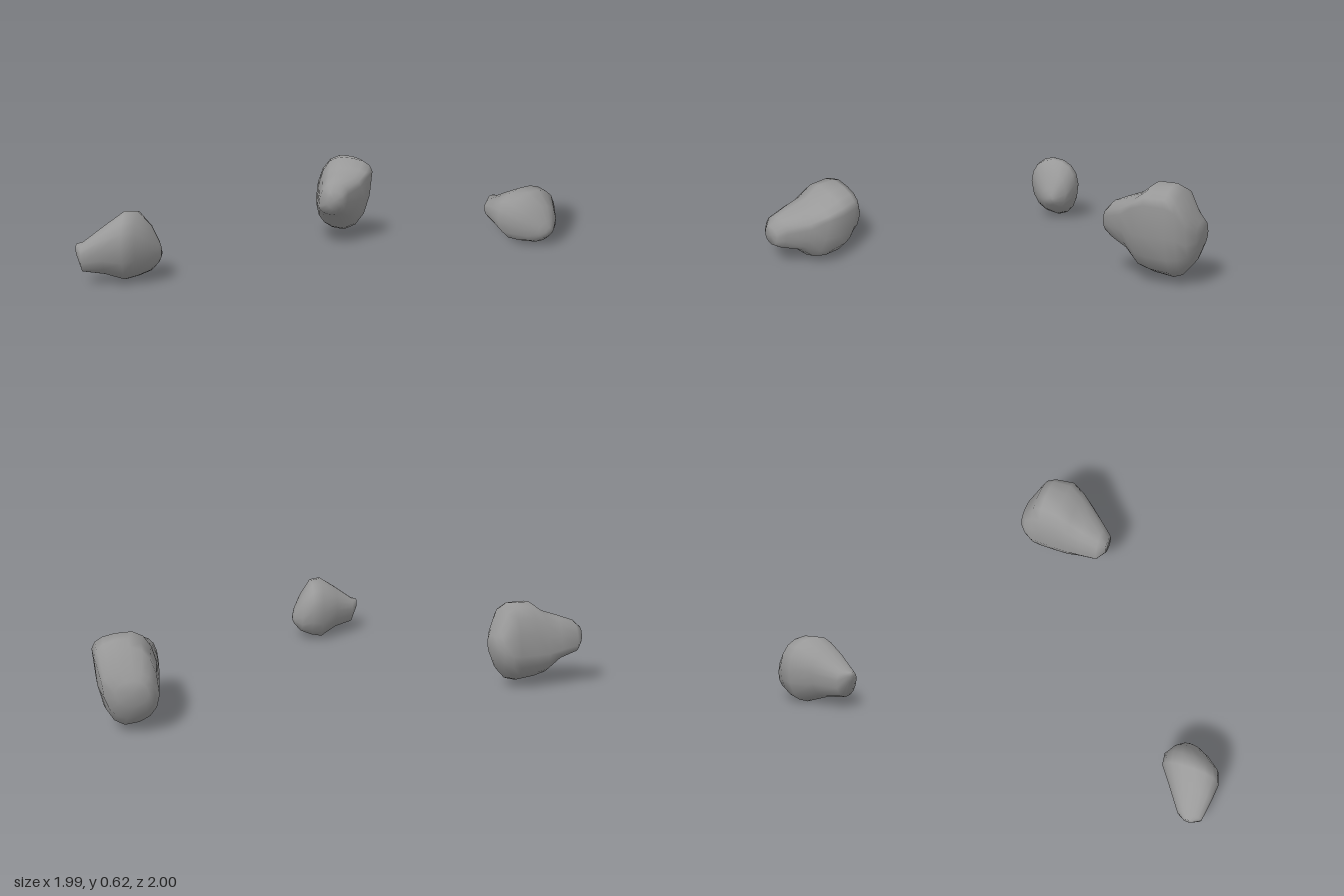
import * as THREE from 'three';

const STEPS = 4; // points per quarter of a cross-section

// Closed loop through the left, top, right and bottom points of a section
function ring([, ...p]) {
  const pts = [0, 2, 4, 6].map((i) => new THREE.Vector2(p[i], p[i + 1]));
  const [l, t, r, b] = pts;
  const corners = [[l.x, t.y], [r.x, t.y], [r.x, b.y], [l.x, b.y]];
  return corners.flatMap(([cx, cy], q) => {
    const from = pts[q], to = pts[(q + 1) % 4];
    const control = from.clone().add(to).multiplyScalar(0.5).lerp(new THREE.Vector2(cx, cy), 0.88);
    const curve = new THREE.QuadraticBezierCurve(from, control, to);
    return Array.from({ length: STEPS }, (_, k) => curve.getPoint(k / STEPS));
  });
}

// Loft of sections along an axis: place maps (across, up, along) to a position
function loft(sections, place, flip) {
  const n = STEPS * 4, last = sections.length - 1;
  const positions = [], index = [];
  const tri = (a, b, c) => index.push(...(flip ? [a, c, b] : [a, b, c]));
  const rings = sections.map(ring);
  rings.forEach((loop, i) => loop.forEach((p) => positions.push(...place(p.x, p.y, sections[i][0]))));
  for (let i = 0; i < last; i++) {
    for (let j = 0; j < n; j++) {
      const a = i * n + j, b = i * n + (j + 1) % n;
      tri(a, a + n, b);
      tri(b, a + n, b + n);
    }
  }
  // Close both ends
  for (const i of [0, last]) {
    const mid = rings[i].reduce((s, p) => s.add(p), new THREE.Vector2()).divideScalar(n);
    const c = positions.length / 3;
    positions.push(...place(mid.x, mid.y, sections[i][0]));
    for (let j = 0; j < n; j++) {
      const a = i * n + j, b = i * n + (j + 1) % n;
      if (i === 0) tri(c, a, b); else tri(c, b, a);
    }
  }
  const geometry = new THREE.BufferGeometry();
  geometry.setAttribute('position', new THREE.Float32BufferAttribute(positions, 3));
  geometry.setIndex(index);
  geometry.computeVertexNormals();
  return geometry;
}

// Each row: position along the axis, then left, top, right and bottom points
const largeSections = [
  [-1.0, 0.63, 0.31, 0.72, 0.4, 0.84, 0.32, 0.75, 0.23],
  [-0.96, 0.59, 0.28, 0.73, 0.45, 0.92, 0.37, 0.77, 0.13],
  [-0.9, 0.565, 0.26, 0.74, 0.59, 0.95, 0.47, 0.79, 0.06],
  [-0.84, 0.565, 0.25, 0.75, 0.62, 0.97, 0.5, 0.79, 0.04],
  [-0.71, 0.565, 0.25, 0.73, 0.62, 0.99, 0.51, 0.78, 0.055],
  [-0.62, 0.565, 0.25, 0.72, 0.55, 0.95, 0.48, 0.77, 0.08],
  [-0.52, 0.565, 0.27, 0.7, 0.515, 0.89, 0.42, 0.74, 0.175],
  [-0.39, 0.57, 0.29, 0.68, 0.465, 0.79, 0.38, 0.7, 0.225],
  [-0.335, 0.63, 0.34, 0.67, 0.41, 0.75, 0.35, 0.7, 0.27],
];
const smallSections = [
  [-1.0, 0.85, 0.23, 0.88, 0.26, 0.91, 0.23, 0.88, 0.19],
  [-0.96, 0.795, 0.2, 0.87, 0.27, 0.97, 0.2, 0.88, 0.08],
  [-0.82, 0.685, 0.24, 0.84, 0.375, 0.99, 0.25, 0.84, 0.055],
  [-0.7, 0.59, 0.26, 0.81, 0.46, 1.0, 0.26, 0.76, 0.005],
  [-0.62, 0.58, 0.27, 0.78, 0.455, 0.97, 0.27, 0.74, 0.025],
  [-0.54, 0.62, 0.2, 0.73, 0.355, 0.88, 0.22, 0.74, 0.06],
  [-0.49, 0.67, 0.18, 0.73, 0.25, 0.8, 0.18, 0.74, 0.115],
  [-0.475, 0.7, 0.17, 0.72, 0.2, 0.75, 0.17, 0.72, 0.15],
];

export function createModel() {
  const model = new THREE.Group();
  model.name = 'rocks';
  const stone = new THREE.MeshStandardMaterial({ color: 0x999999 });
  stone.name = 'grey stone';

  // Large rock, tapering towards the front
  const largeRock = new THREE.Mesh(loft(largeSections, (u, v, t) => [u, v, t], false), stone);
  largeRock.name = 'largeRock';

  // Small rock, tapering towards its right
  const smallRock = new THREE.Mesh(loft(smallSections, (u, v, t) => [t, v, u], true), stone);
  smallRock.name = 'smallRock';

  model.add(largeRock, smallRock);
  return model;
}
